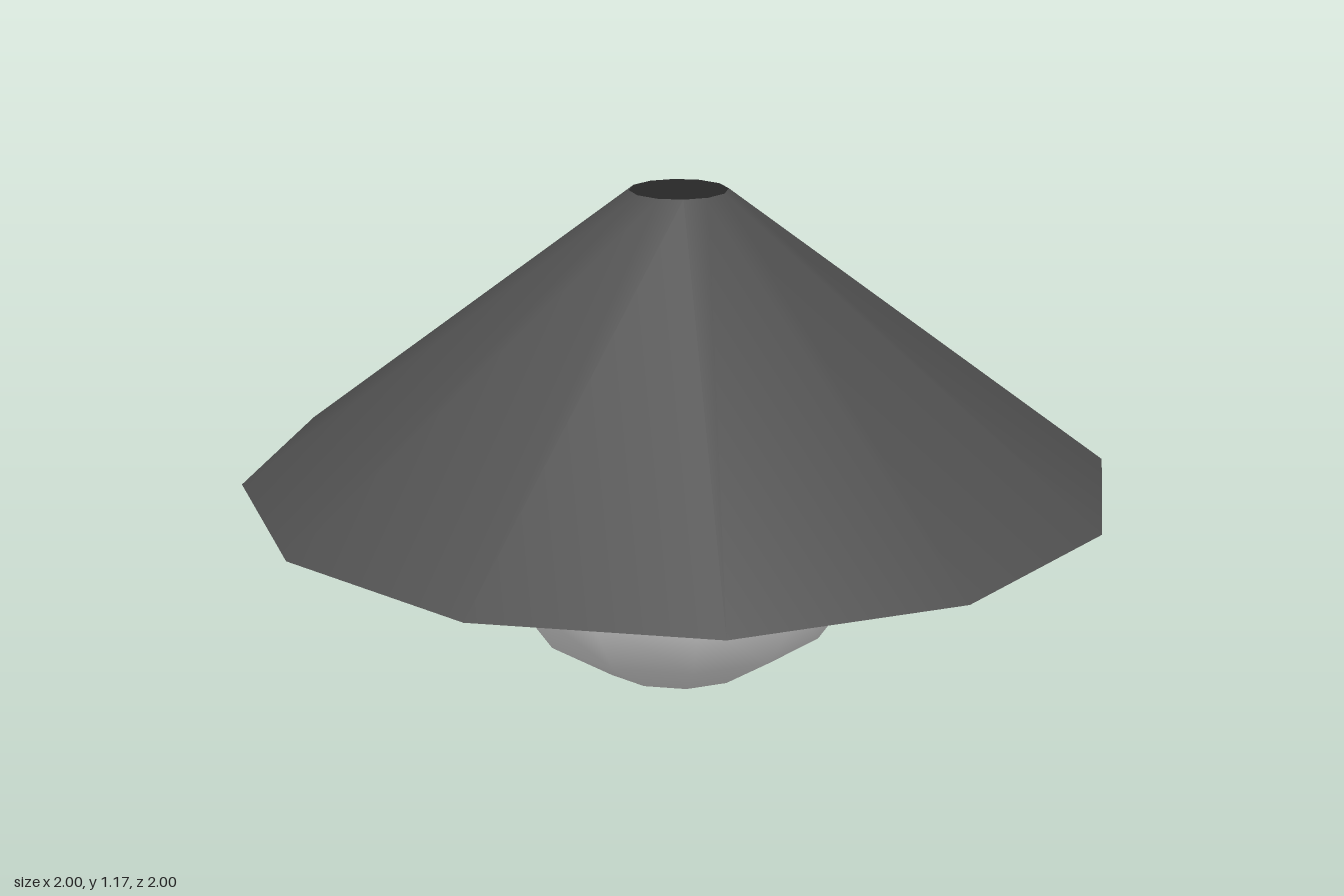
import * as THREE from 'three';

export function createModel() {
  const lamp = new THREE.Group();
  lamp.name = 'pendantLamp';

  const shadeGrey = new THREE.MeshStandardMaterial({ color: 0x4f4f4f, side: THREE.DoubleSide });
  shadeGrey.name = 'dark grey shade';
  const bulbWhite = new THREE.MeshStandardMaterial({ color: 0xe7e7e7 });
  bulbWhite.name = 'white bulb';

  const bulbRadius = 0.5;
  const rimY = 0.505, topY = 1.17;

  // Conical shade, open at the top and bottom
  const shade = new THREE.Mesh(
    new THREE.CylinderGeometry(0.112, 1, topY - rimY, 12, 1, true), shadeGrey);
  shade.name = 'shade';
  shade.position.y = (rimY + topY) / 2;
  lamp.add(shade);

  // Round bulb, half hidden inside the shade
  const bulb = new THREE.Mesh(new THREE.SphereGeometry(bulbRadius, 12, 8), bulbWhite);
  bulb.name = 'bulb';
  bulb.position.y = bulbRadius + 0.003;
  lamp.add(bulb);

  return lamp;
}
